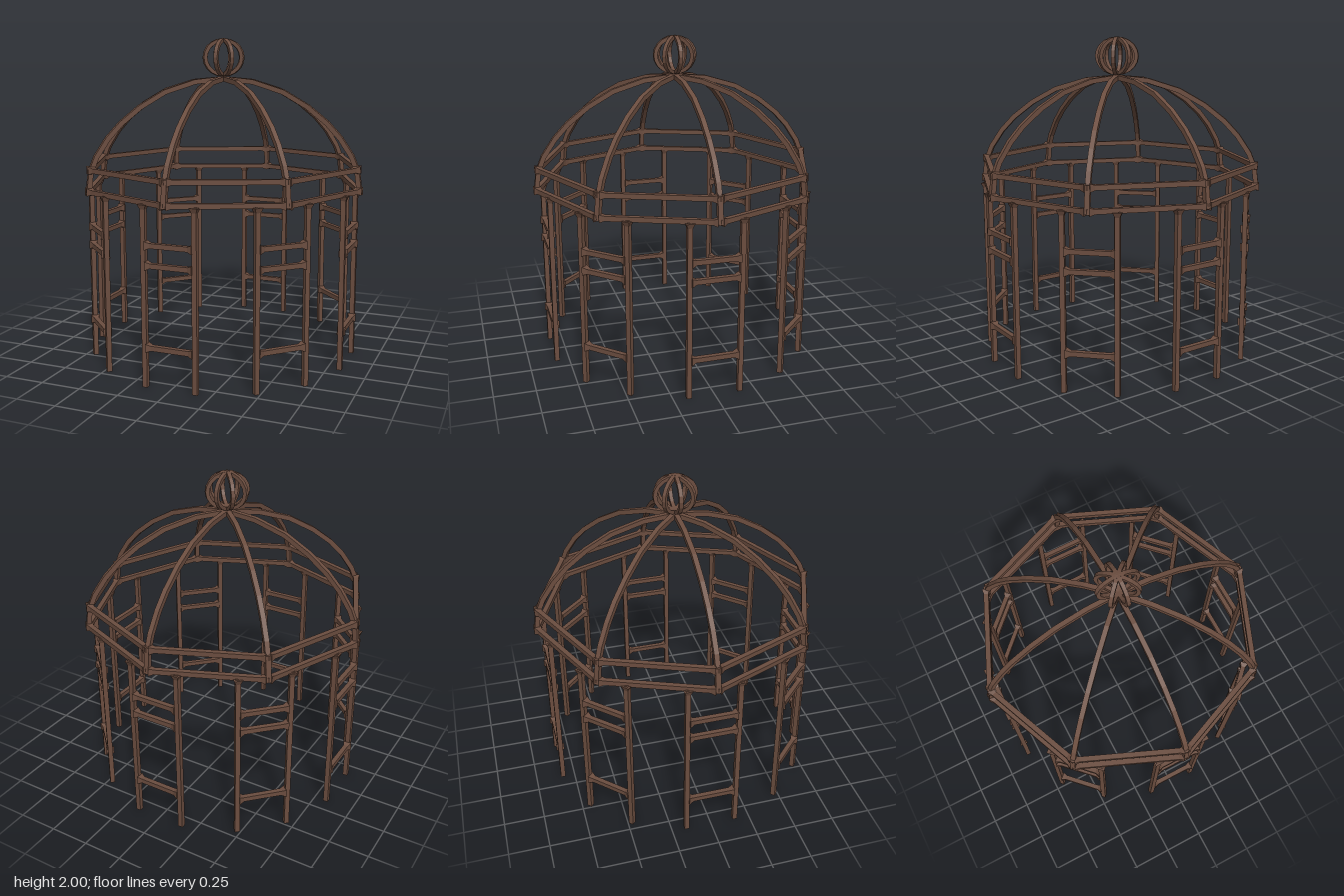
import * as THREE from 'three';

const BAR = 0.03;
const material = new THREE.MeshStandardMaterial({ color: 0x6b4d3f, flatShading: true });

function add(parent, name, geometry, x = 0, y = 0, z = 0) {
  const mesh = new THREE.Mesh(geometry, material);
  mesh.name = name;
  mesh.position.set(x, y, z);
  parent.add(mesh);
  return mesh;
}

// Square flared collar, wide end at +y
function collarGeometry(wide = 0.052, length = 0.028) {
  return new THREE.CylinderGeometry(wide / Math.SQRT2, BAR / Math.SQRT2, length, 4, 1).rotateY(Math.PI / 4);
}

// Flat octagonal hoop with corners on the x and z axes
function hoopGeometry(outer) {
  const corners = (r) => Array.from({ length: 8 }, (_, i) =>
    new THREE.Vector2(r * Math.cos(i * Math.PI / 4), r * Math.sin(i * Math.PI / 4)));
  const shape = new THREE.Shape(corners(outer));
  shape.holes.push(new THREE.Path(corners(outer - 0.034)));
  return new THREE.ExtrudeGeometry(shape, { depth: BAR, bevelEnabled: false }).rotateX(-Math.PI / 2);
}

// Ladder-like panel of two posts and three rungs, facing +z
function makePanel() {
  const panel = new THREE.Group();
  const half = 0.157, z = 0.826;
  for (const s of [-1, 1]) {
    add(panel, 'post', new THREE.BoxGeometry(BAR, 1.08, BAR), s * half, 0.54, z);
    add(panel, 'postCollar', collarGeometry(), s * half, 1.062, z);
  }
  for (const y of [0.24, 0.725, 0.842]) {
    add(panel, 'rung', new THREE.BoxGeometry(2 * half, BAR, BAR), 0, y, z);
    for (const s of [-1, 1]) {
      add(panel, 'rungCollar', collarGeometry(), s * (half - 0.026), y, z).rotation.z = -s * Math.PI / 2;
    }
  }
  return panel;
}

// Curved roof rib running from the lower hoop to the crown, in the +x direction
function ribGeometry() {
  const outer = [[0.9, 1.07], [0.882, 1.21], [0.845, 1.3], [0.77, 1.41], [0.685, 1.5],
    [0.56, 1.597], [0.4, 1.686], [0.2, 1.746], [0, 1.765]].map(([x, y]) => new THREE.Vector2(x, y));
  const inner = outer.map((p, i) => {
    const a = outer[Math.max(i - 1, 0)], b = outer[Math.min(i + 1, outer.length - 1)];
    const d = b.clone().sub(a).normalize();
    if (i === 0) return new THREE.Vector2(p.x - BAR, p.y);
    if (i === outer.length - 1) return new THREE.Vector2(0, p.y - BAR);
    return new THREE.Vector2(p.x - d.y * BAR, p.y + d.x * BAR);
  });
  const shape = new THREE.Shape([...outer, ...inner.reverse()]);
  return new THREE.ExtrudeGeometry(shape, { depth: BAR, bevelEnabled: false }).translate(0, 0, -BAR / 2);
}

// Oval ring of the finial
function finialRingGeometry() {
  const shape = new THREE.Shape().absellipse(0, 0, 0.137, 0.119, 0, Math.PI * 2);
  shape.holes.push(new THREE.Path().absellipse(0, 0, 0.113, 0.097, 0, Math.PI * 2));
  return new THREE.ExtrudeGeometry(shape, { depth: 0.024, bevelEnabled: false, curveSegments: 10 })
    .translate(0, 0, -0.012);
}

export function createModel() {
  const model = new THREE.Group();
  model.name = 'gardenPavilion';

  // Eight panels below the corners, each with a rib above
  const rib = ribGeometry();
  for (let i = 0; i < 8; i++) {
    const angle = i * Math.PI / 4;
    const panel = makePanel();
    panel.name = 'sidePanel';
    panel.rotation.y = angle;
    model.add(panel);
    add(model, 'roofRib', rib).rotation.y = angle;
  }

  // Two octagonal hoops with flared joints at the corners
  for (const [name, y, outer] of [['lowerHoop', 1.07, 0.9], ['upperHoop', 1.2, 0.888]]) {
    add(model, name, hoopGeometry(outer), 0, y, 0);
    const centre = outer - 0.017;
    for (let i = 0; i < 8; i++) {
      const edge = new THREE.Group();
      edge.name = name + 'Joints';
      edge.rotation.y = (i + 0.5) * Math.PI / 4;
      const apothem = centre * Math.cos(Math.PI / 8), half = centre * Math.sin(Math.PI / 8);
      for (const s of [-1, 1]) {
        add(edge, 'hoopCollar', collarGeometry(0.048, 0.03), s * (half - 0.024), y + BAR / 2, apothem)
          .rotation.z = -s * Math.PI / 2;
      }
      model.add(edge);
    }
  }

  // Openwork finial
  const ring = finialRingGeometry();
  for (let i = 0; i < 4; i++) add(model, 'finialRing', ring, 0, 1.881, 0).rotation.y = i * Math.PI / 4;

  return model;
}
